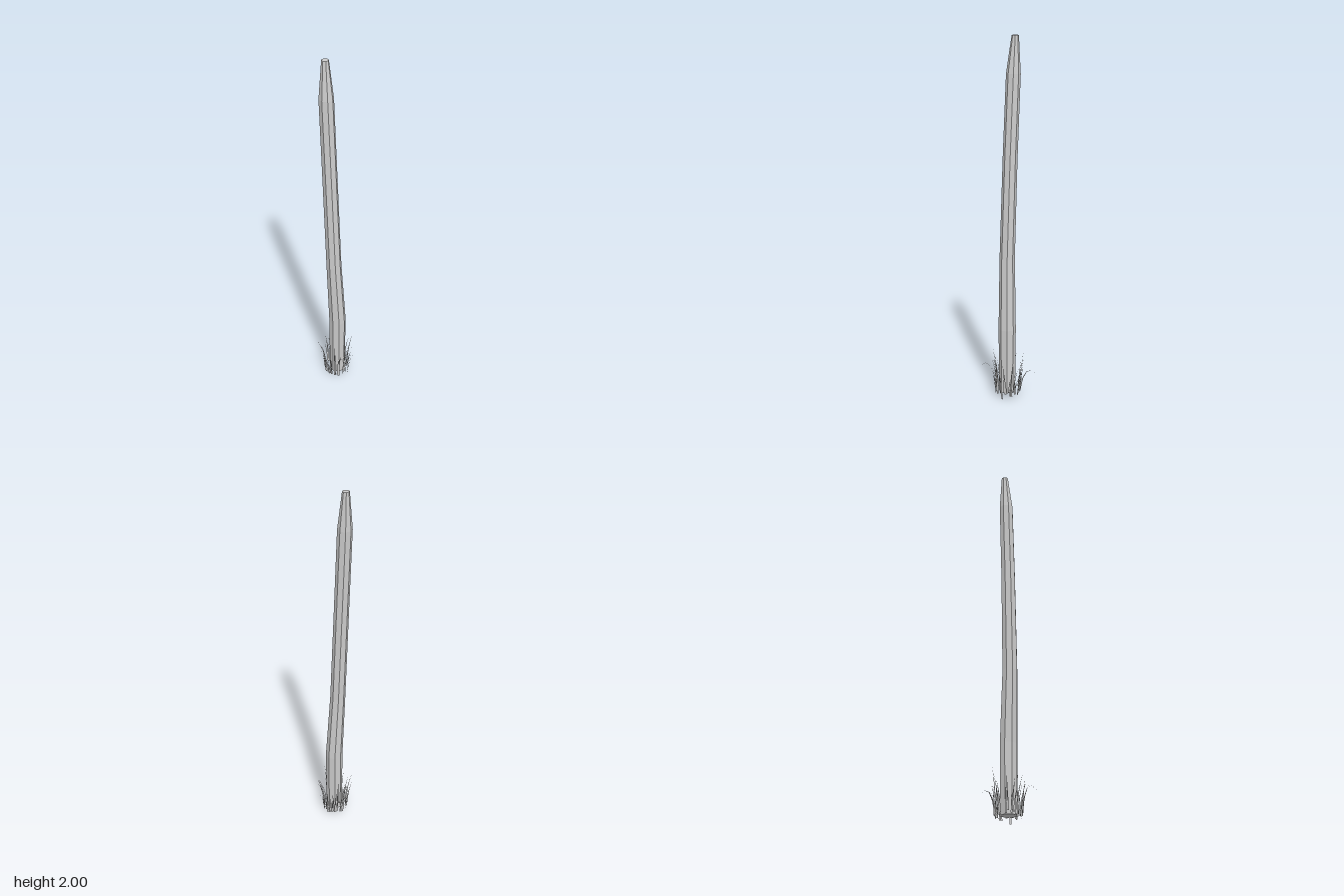
import * as THREE from 'three';

const SIDES = 8;

// Leaning pole made of octagonal rings: [y, centre x, centre z, radius]
function poleGeometry() {
  const rings = [
    [0.03, 0.003, 0.006, 0.045], [0.4, 0.004, 0.006, 0.048], [0.8, -0.015, -0.002, 0.042],
    [1.35, -0.025, -0.023, 0.04], [1.8, -0.031, -0.044, 0.039], [2, -0.03, -0.054, 0.019],
  ];
  const pos = [], index = [];
  for (const [y, cx, cz, r] of rings) {
    for (let i = 0; i < SIDES; i++) {
      const a = ((i + 0.5) / SIDES) * Math.PI * 2;
      pos.push(cx + r * Math.sin(a), y, cz + r * Math.cos(a));
    }
  }
  for (let k = 0; k < rings.length - 1; k++) {
    for (let i = 0; i < SIDES; i++) {
      const j = (i + 1) % SIDES;
      const a = k * SIDES + i, b = k * SIDES + j;
      index.push(a, b, b + SIDES, a, b + SIDES, a + SIDES);
    }
  }
  // Flat end caps
  const top = (rings.length - 1) * SIDES;
  for (let i = 1; i < SIDES - 1; i++) {
    index.push(0, i + 1, i, top, top + i, top + i + 1);
  }
  const g = new THREE.BufferGeometry();
  g.setAttribute('position', new THREE.Float32BufferAttribute(pos, 3));
  g.setIndex(index);
  return g;
}

// Tapered grass blade swept along a bent curve
function bladeGeometry(base, bend, tip, width) {
  const curve = new THREE.QuadraticBezierCurve3(base, bend, tip);
  const across = new THREE.Vector3(-(tip.z - base.z), 0, tip.x - base.x).normalize();
  const pos = [], index = [], n = 4;
  for (let i = 0; i <= n; i++) {
    const p = curve.getPoint(i / n);
    const w = (width / 2) * (1 - i / n);
    pos.push(p.x - across.x * w, p.y, p.z - across.z * w);
    pos.push(p.x + across.x * w, p.y, p.z + across.z * w);
    if (i < n) index.push(2 * i, 2 * i + 1, 2 * i + 3, 2 * i, 2 * i + 3, 2 * i + 2);
  }
  const g = new THREE.BufferGeometry();
  g.setAttribute('position', new THREE.Float32BufferAttribute(pos, 3));
  g.setIndex(index);
  return g;
}

export function createModel() {
  const model = new THREE.Group();
  model.name = 'woodenPost';
  const wood = new THREE.MeshStandardMaterial({ color: 0xcccccc, flatShading: true });
  const leaf = new THREE.MeshStandardMaterial({ color: 0xcccccc, flatShading: true, side: THREE.DoubleSide });

  const pole = new THREE.Mesh(poleGeometry(), wood);
  pole.name = 'pole';
  model.add(pole);

  const grass = new THREE.Group();
  grass.name = 'grass';
  model.add(grass);
  const addBlade = (base, bend, tip, width) => {
    const m = new THREE.Mesh(bladeGeometry(base, bend, tip, width), leaf);
    m.name = 'grassBlade';
    grass.add(m);
  };

  let seed = 7;
  const rnd = () => (seed = (seed * 16807) % 2147483647) / 2147483647;
  const V = (x, y, z) => new THREE.Vector3(x, y, z);

  // Tufts around the foot: outermost tip [x, height, z], each with shorter companions
  const tips = [
    [-0.085, 0.22, -0.09], [-0.093, 0.2, -0.04], [-0.11, 0.22, -0.003], [-0.1, 0.18, 0.027],
    [-0.09, 0.2, 0.065], [-0.062, 0.28, 0.068], [-0.03, 0.2, 0.09], [0, 0.22, 0.1],
    [0.025, 0.27, 0.09], [0.075, 0.2, 0.095], [0.08, 0.22, 0.065], [0.11, 0.25, 0.013],
    [0.105, 0.2, -0.022], [0.09, 0.22, -0.055], [0.06, 0.19, -0.078], [0.025, 0.27, -0.088],
    [-0.01, 0.21, -0.105],
  ];
  tips.forEach(([x, h, z], i) => {
    const angle = Math.atan2(z, x), reach = Math.hypot(x, z);
    for (let k = 0; k < 3; k++) {
      const a = angle + (k ? (rnd() - 0.5) * 0.35 : 0);
      const r0 = 0.06 + rnd() * 0.012;
      const r1 = k ? r0 + (reach - r0) * (0.3 + rnd() * 0.5) : reach;
      const y0 = i === 9 && k === 0 ? 0 : 0.015 + rnd() * 0.03;
      const y1 = k ? h * (0.5 + rnd() * 0.35) : h;
      const twist = a + (rnd() - 0.5) * 0.25;
      const rm = r0 + (r1 - r0) * 0.25;
      addBlade(
        V(r0 * Math.cos(twist), y0, r0 * Math.sin(twist)),
        V(rm * Math.cos(a), y0 + (y1 - y0) * 0.65, rm * Math.sin(a)),
        V(r1 * Math.cos(a), y1, r1 * Math.sin(a)),
        0.009 + rnd() * 0.003,
      );
    }
  });

  // Two long drooping blades, back and front
  addBlade(V(0.028, 0.03, -0.062), V(0.03, 0.2, -0.09), V(0.033, 0.11, -0.162), 0.012);
  addBlade(V(-0.033, 0.03, 0.062), V(-0.036, 0.25, 0.08), V(-0.045, 0.18, 0.154), 0.012);

  return model;
}
